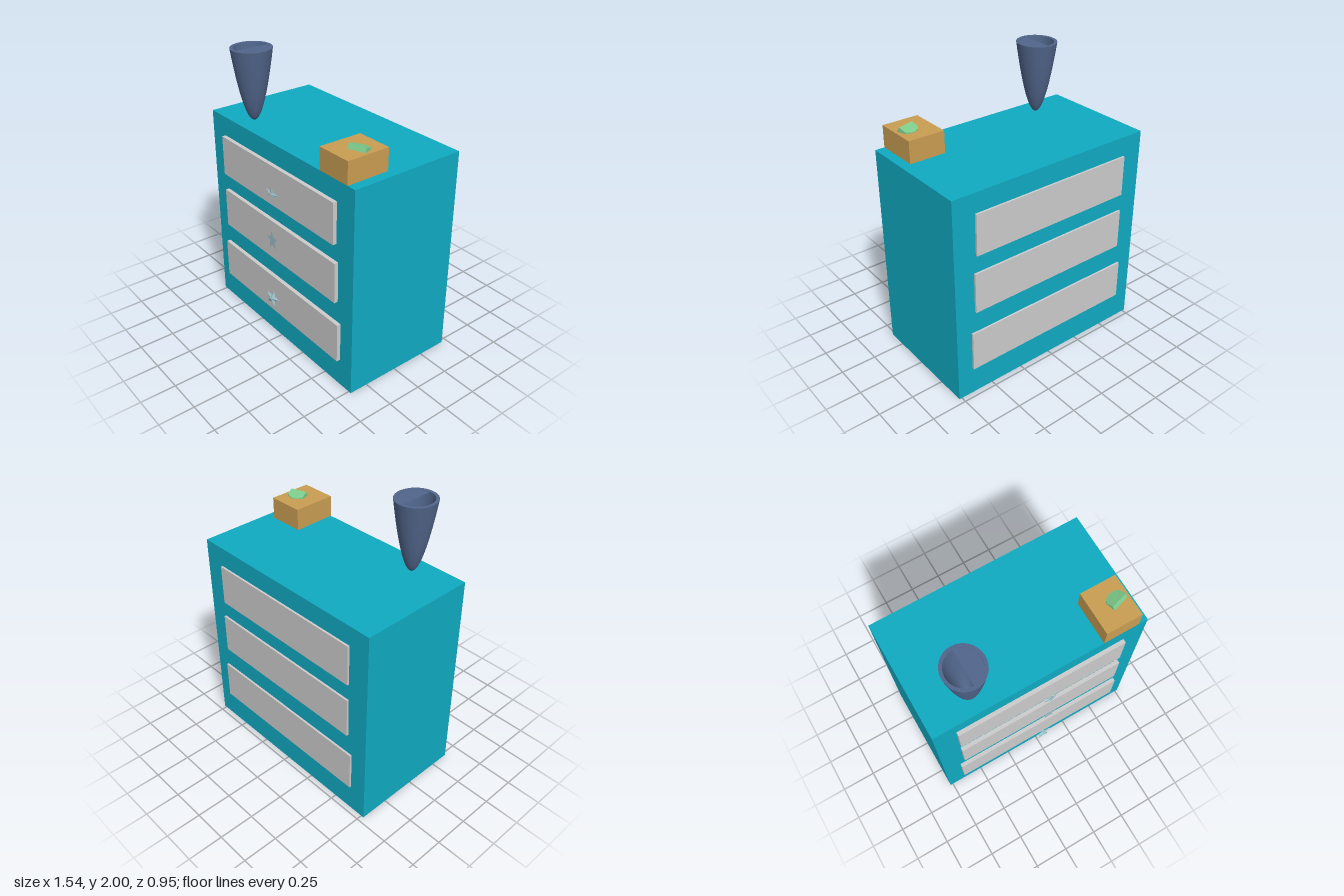
import * as THREE from 'three';

const mat = (color, opts = {}) => new THREE.MeshStandardMaterial({ color, ...opts });

function add(group, name, geometry, material, x = 0, y = 0, z = 0) {
  const mesh = new THREE.Mesh(geometry, material);
  mesh.name = name;
  mesh.position.set(x, y, z);
  group.add(mesh);
  return mesh;
}

// Box given by its limits on each axis
function addBox(group, name, material, [x0, x1], [y0, y1], [z0, z1]) {
  return add(group, name, new THREE.BoxGeometry(x1 - x0, y1 - y0, z1 - z0), material,
    (x0 + x1) / 2, (y0 + y1) / 2, (z0 + z1) / 2);
}

// Five-pointed star with a centre raised by the given height; zero gives a flat star
function starGeometry(radius, raise) {
  const rim = [];
  for (let i = 0; i < 10; i++) {
    const a = Math.PI / 2 + i * Math.PI / 5;
    const r = i % 2 ? radius * 0.45 : radius;
    rim.push([r * Math.cos(a), r * Math.sin(a), 0]);
  }
  const points = [];
  for (let i = 0; i < 10; i++) points.push(...rim[i], ...rim[(i + 1) % 10], 0, 0, raise);
  const geometry = new THREE.BufferGeometry();
  geometry.setAttribute('position', new THREE.Float32BufferAttribute(points, 3));
  geometry.computeVertexNormals();
  return geometry;
}

// Hollow tapered vase with a half cover across its mouth
function createVase() {
  const vase = new THREE.Group();
  vase.name = 'vase';
  const material = mat(0x51668b, { side: THREE.DoubleSide });
  const height = 0.505, radius = 0.137, inner = 0.115;
  const outside = [], inside = [];
  for (let i = 0; i <= 14; i++) {
    const t = (i / 14) ** 2;
    outside.push(new THREE.Vector2(radius * Math.sqrt(t), height * t));
    inside.push(new THREE.Vector2(inner * Math.sqrt(t), 0.04 + (height - 0.04) * t));
  }
  add(vase, 'vaseOutside', new THREE.LatheGeometry(outside, 32), material);
  add(vase, 'vaseInside', new THREE.LatheGeometry(inside, 32), material);
  add(vase, 'vaseRim', new THREE.RingGeometry(inner, radius, 32).rotateX(-Math.PI / 2), material, 0, height, 0);
  const cover = new THREE.CircleGeometry(inner, 24, -Math.PI / 2, Math.PI).rotateX(-Math.PI / 2);
  add(vase, 'vaseHalfCover', cover, material, 0, height - 0.003, 0);
  vase.scale.z = 1.05;
  vase.position.set(-0.447, 1.493, 0.25);
  return vase;
}

// Small wedge with a rounded back and a top sloping up to the front
function wedgeGeometry() {
  const shape = new THREE.Shape();
  shape.moveTo(-0.061, -0.052);
  shape.lineTo(0.061, -0.052);
  shape.lineTo(0.061, 0.012);
  shape.quadraticCurveTo(0.045, 0.04, 0, 0.044);
  shape.quadraticCurveTo(-0.045, 0.04, -0.061, 0.012);
  shape.closePath();
  const geometry = new THREE.ExtrudeGeometry(shape, { depth: 1, bevelEnabled: false, curveSegments: 5 });
  geometry.rotateX(-Math.PI / 2);
  const p = geometry.attributes.position;
  for (let i = 0; i < p.count; i++) {
    const z = p.getZ(i), top = p.getY(i) > 0.5;
    p.setY(i, top ? 0.004 + 0.028 * (z + 0.044) / 0.096 : 0);
    if (top && z > 0.05) p.setZ(i, 0.034);
  }
  geometry.computeVertexNormals();
  return geometry;
}

export function createModel() {
  const model = new THREE.Group();
  model.name = 'dresser';

  // Cabinet body
  addBox(model, 'cabinet', mat(0x10aac2), [-0.77, 0.77], [0, 1.494], [-0.46, 0.385]);

  // Drawers run right through the cabinet and stand proud at both ends
  const grey = mat(0xcccccc);
  const drawers = [
    ['topDrawer', [-0.615, 0.61], [1.065, 1.355]],
    ['middleDrawer', [-0.615, 0.627], [0.65, 0.94]],
    ['bottomDrawer', [-0.648, 0.657], [0.205, 0.492]],
  ];
  for (const [name, xs, ys] of drawers) addBox(model, name, grey, xs, ys, [-0.475, 0.413]);

  // Star-shaped knobs, the upper and lower ones tipped
  const starMaterial = mat(0x9bc0c8, { flatShading: true, side: THREE.DoubleSide });
  const knobs = [
    ['topKnob', [0.032, 1.188, 0.45], 0.018, [0.25, 0.1, -0.25], [0.98, 0.76]],
    ['middleKnob', [0.03, 0.838, 0.46], 0, [0, 0, 0.08], [0.92, 1.1]],
    ['bottomKnob', [0.007, 0.36, 0.459], 0.018, [-0.2, 0.08, -0.12], [1.1, 0.9]],
  ];
  for (const [name, pos, raise, rot, [sx, sy]] of knobs) {
    const knob = add(model, name, starGeometry(0.064, raise), starMaterial, ...pos);
    knob.rotation.set(...rot);
    knob.scale.set(sx, sy, 1);
  }

  // Objects on the top
  model.add(createVase());
  addBox(model, 'smallBox', mat(0xc99d52), [0.445, 0.703], [1.494, 1.648], [0.075, 0.385]);
  const wedge = add(model, 'wedge', wedgeGeometry(), mat(0x7dcc8b, { flatShading: true }), 0.61, 1.648, 0.21);
  wedge.rotation.y = 0.3;

  return model;
}
